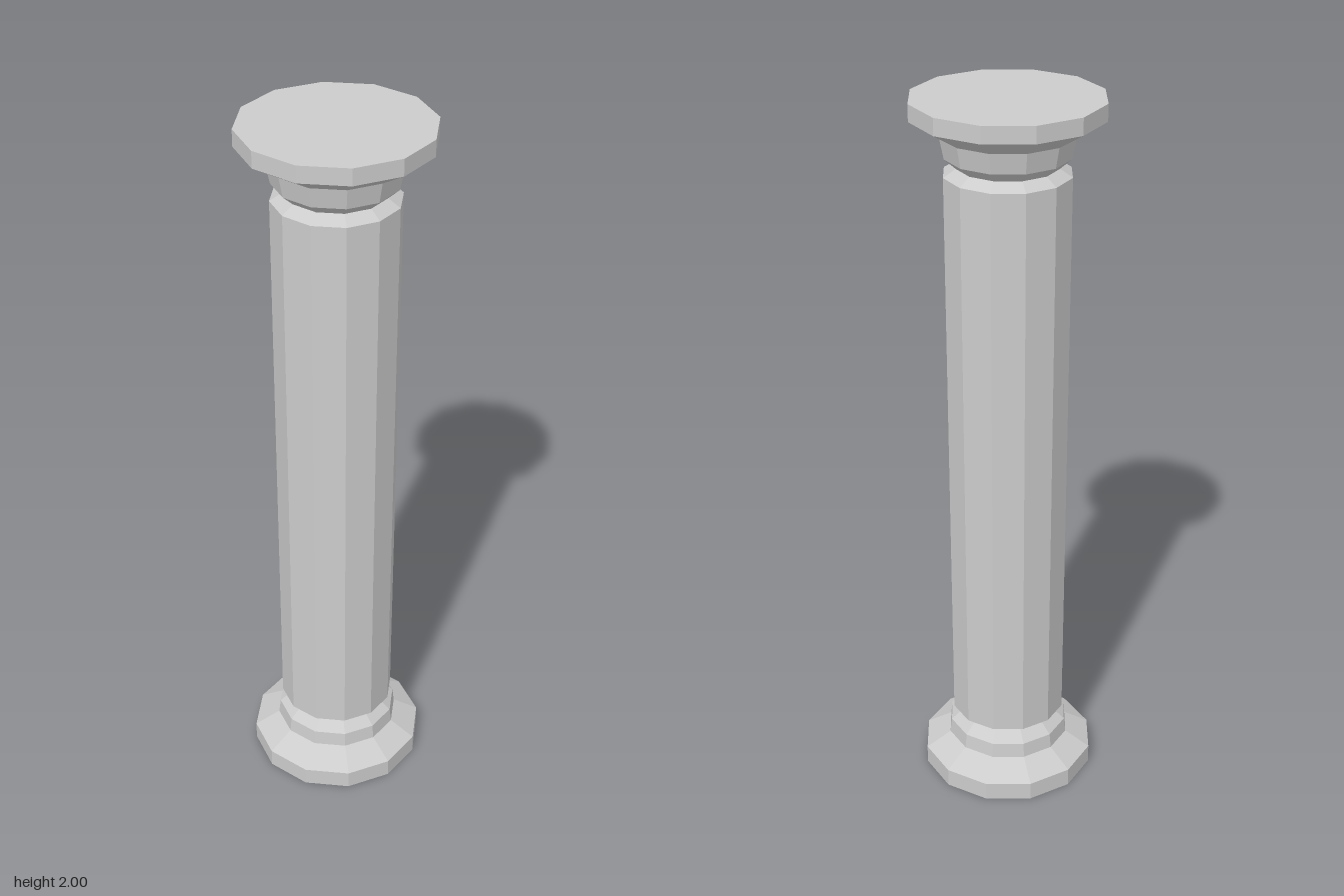
import * as THREE from 'three';

const SIDES = 12;

// Each part is a 12-sided turned section given as [radius, height] points, bottom to top.
const PARTS = {
  base: [[0, 0], [0.247, 0], [0.247, 0.053], [0.176, 0.097]],
  lowerCollar: [[0.176, 0.097], [0.171, 0.14], [0.137, 0.17]],
  shaft: [[0.137, 0.17], [0.163, 0.187], [0.168, 1.805], [0.135, 1.826]],
  upperCollar: [[0.135, 1.826], [0.165, 1.853], [0.176, 1.908]],
  capital: [[0.176, 1.908], [0.253, 1.955], [0.253, 2], [0, 2]],
};

export function createModel() {
  const column = new THREE.Group();
  column.name = 'column';
  const stone = new THREE.MeshStandardMaterial({ color: 0xcccccc, flatShading: true });

  for (const [name, profile] of Object.entries(PARTS)) {
    const points = profile.map(([r, y]) => new THREE.Vector2(r, y));
    const mesh = new THREE.Mesh(new THREE.LatheGeometry(points, SIDES), stone);
    mesh.name = name;
    column.add(mesh);
  }
  return column;
}
